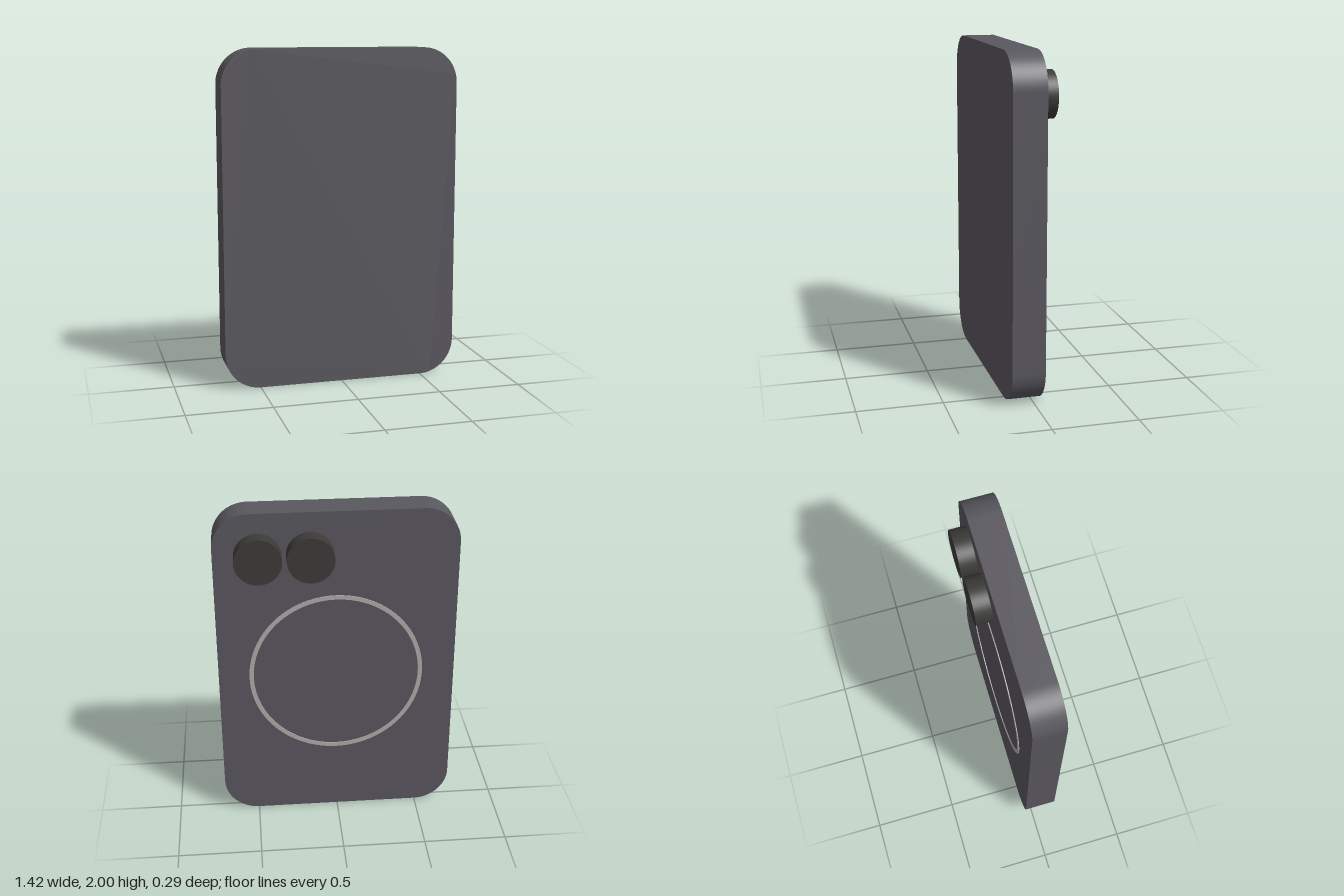
import * as THREE from 'three';
import { toCreasedNormals } from 'three/addons/utils/BufferGeometryUtils.js';

const WIDTH = 1.42, HEIGHT = 2, RADIUS = 0.21;
const BACK = -0.048, FRONT = 0.145, LENS_END = -0.145;

// Rounded rectangle standing on y = 0
function roundedPanel(w, h, r) {
  const x = w / 2 - r, s = new THREE.Shape();
  s.absarc(x, r, r, -Math.PI / 2, 0);
  s.absarc(x, h - r, r, 0, Math.PI / 2);
  s.absarc(-x, h - r, r, Math.PI / 2, Math.PI);
  s.absarc(-x, r, r, Math.PI, Math.PI * 1.5);
  return s;
}

// Extrudes a shape between two z planes with smooth curved sides
function extrude(shape, z0, z1, curveSegments) {
  const g = new THREE.ExtrudeGeometry(shape, { depth: z1 - z0, bevelEnabled: false, curveSegments });
  g.translate(0, 0, z0);
  return toCreasedNormals(g, 0.6);
}

export function createModel() {
  const group = new THREE.Group();
  const material = (name, color) => {
    const m = new THREE.MeshStandardMaterial({ color });
    m.name = name;
    return m;
  };
  const graphite = material('graphite', 0x5a585f);
  const black = material('lens black', 0x3c3b3a);
  const silver = material('ring silver', 0xb0aeac);

  const add = (name, geometry, mat) => {
    const mesh = new THREE.Mesh(geometry, mat);
    mesh.name = name;
    group.add(mesh);
    return mesh;
  };

  // Slab body
  add('body', extrude(roundedPanel(WIDTH, HEIGHT, RADIUS), BACK, FRONT, 16), graphite);

  // Two round lenses on the back, near the upper left corner
  [['outerLens', 0.453], ['innerLens', 0.154]].forEach(([name, x]) => {
    const depth = BACK - LENS_END;
    const lens = add(name, new THREE.CylinderGeometry(0.137, 0.137, depth, 48), black);
    lens.rotation.x = Math.PI / 2;
    lens.position.set(x, 1.745, LENS_END + depth / 2);
  });

  // Thin charging ring on the back
  const ring = new THREE.Shape().absarc(0, 0, 0.522, 0, Math.PI * 2);
  ring.holes.push(new THREE.Path().absarc(0, 0, 0.496, 0, Math.PI * 2, true));
  add('chargingRing', extrude(ring, BACK - 0.005, BACK, 48), silver).position.set(0.005, 0.96, 0);

  return group;
}
